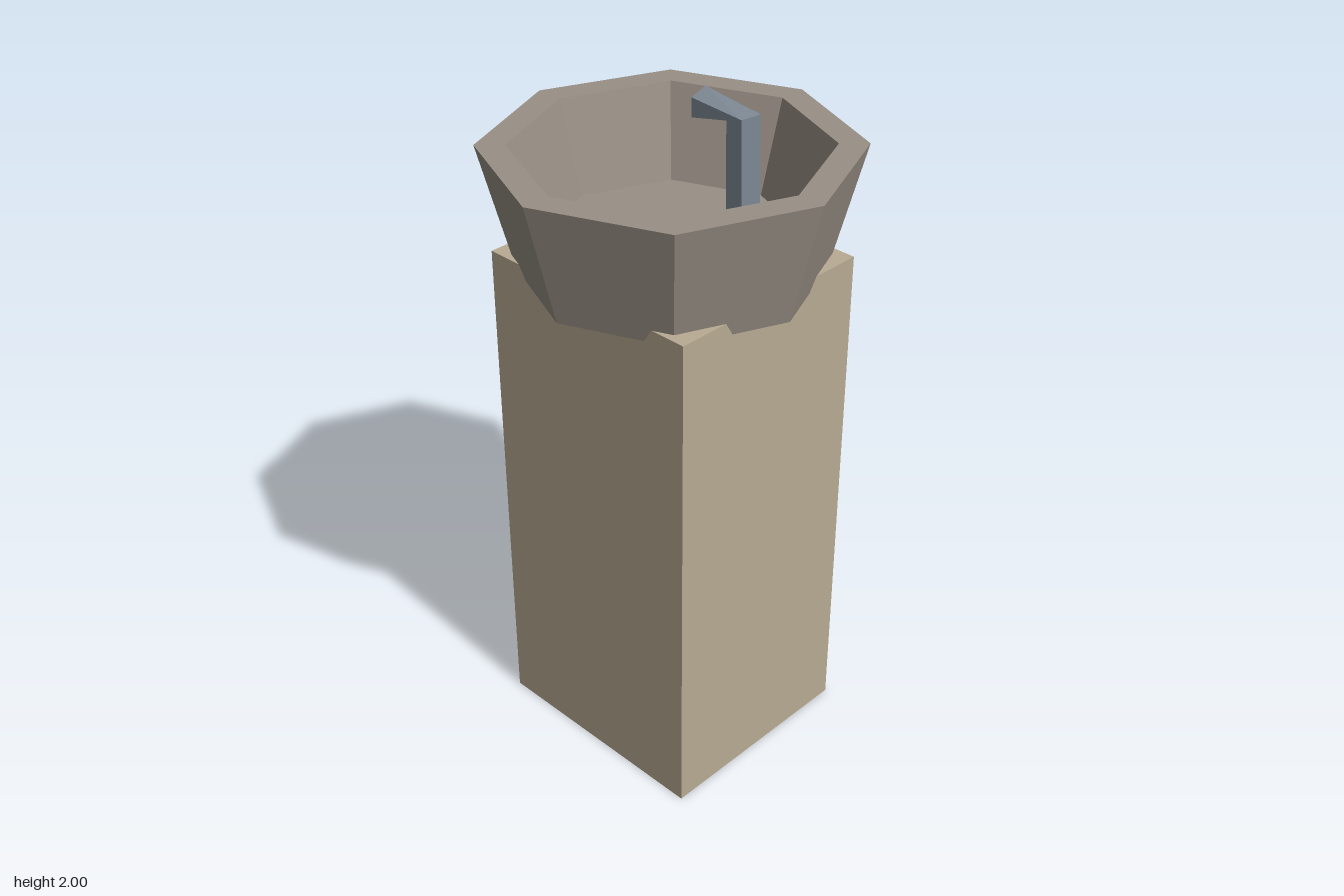
import * as THREE from 'three';

const sandstone = new THREE.MeshStandardMaterial({ name: 'sandstone', color: 0xb8ab93 });
const stone = new THREE.MeshStandardMaterial({ name: 'grey stone', color: 0x999085 });
const steel = new THREE.MeshStandardMaterial({ name: 'blue steel', color: 0x7c8894 });

// Split the faces apart so every facet is flat
function faceted(geometry) {
  const flat = geometry.index ? geometry.toNonIndexed() : geometry;
  flat.computeVertexNormals();
  return flat;
}

function addPart(group, name, geometry, material) {
  const mesh = new THREE.Mesh(geometry, material);
  mesh.name = name;
  group.add(mesh);
  return mesh;
}

// Five-sided pipe through rings of { y, z, tilt }, tilt leaning each ring forward
function pipeGeometry(rings, radius) {
  const sides = 5;
  const positions = [];
  const index = [];
  rings.forEach(({ y, z, tilt }) => {
    for (let k = 0; k < sides; k++) {
      const a = (k / sides) * Math.PI * 2;
      const s = Math.sin(a) * radius;
      positions.push(Math.cos(a) * radius, y + s * Math.sin(tilt), z + s * Math.cos(tilt));
    }
  });
  for (let r = 0; r < rings.length - 1; r++) {
    for (let k = 0; k < sides; k++) {
      const a = r * sides + k;
      const b = r * sides + ((k + 1) % sides);
      index.push(a, a + sides, b, b, a + sides, b + sides);
    }
  }
  // End caps
  const last = (rings.length - 1) * sides;
  for (let k = 1; k < sides - 1; k++) {
    index.push(0, k, k + 1);
    index.push(last, last + k + 1, last + k);
  }
  const geometry = new THREE.BufferGeometry();
  geometry.setAttribute('position', new THREE.Float32BufferAttribute(positions, 3));
  geometry.setIndex(index);
  return faceted(geometry);
}

export function createModel() {
  const fountain = new THREE.Group();
  fountain.name = 'drinkingFountain';

  // Square pedestal
  const pedestal = addPart(fountain, 'pedestal', new THREE.BoxGeometry(0.64, 1.51, 0.7), sandstone);
  pedestal.position.y = 0.755;

  // Eight-sided hollow basin: underside, outer wall, rim, inner wall, floor
  const profile = [
    [0, 1.47], [0.41, 1.47], [0.5, 1.82], [0.42, 1.82], [0.345, 1.56], [0, 1.56],
  ].map(([r, y]) => new THREE.Vector2(r, y));
  addPart(fountain, 'basin', faceted(new THREE.LatheGeometry(profile, 8)), stone);

  // Bent spout rising from the basin floor
  const spout = pipeGeometry([
    { y: 1.55, z: 0.25, tilt: 0 },
    { y: 1.967, z: 0.24, tilt: 0.3 },
    { y: 1.959, z: 0.1, tilt: Math.PI / 2 },
  ], 0.044);
  addPart(fountain, 'spout', spout, steel);

  return fountain;
}
